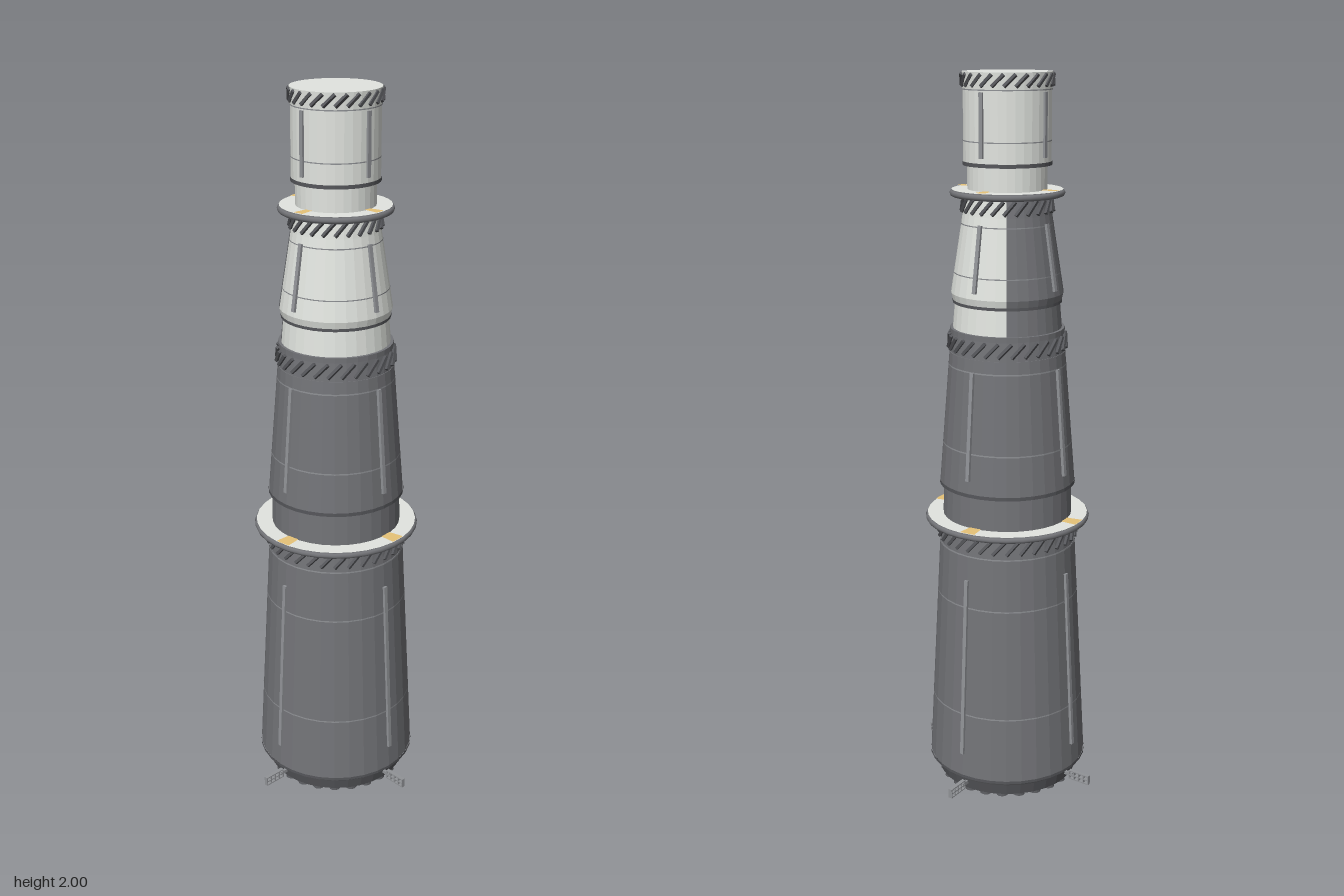
import * as THREE from 'three';
import { mergeGeometries } from 'three/addons/utils/BufferGeometryUtils.js';

const SIDES = 32;
const STEP = (Math.PI * 2) / SIDES;

const mat = (name, color) => {
  const m = new THREE.MeshStandardMaterial({ color });
  m.name = name;
  return m;
};

const flat = (geometry) => {
  const g = geometry.index ? geometry.toNonIndexed() : geometry;
  g.computeVertexNormals();
  return g;
};

// Faceted frustum between two heights, optionally only part of the way round
const frustum = (y0, r0, y1, r1, open = false, start = 0, sweep = Math.PI * 2) => {
  const sides = Math.round(sweep / STEP);
  const g = new THREE.CylinderGeometry(r1, r0, y1 - y0, sides, 1, open, start, sweep);
  return flat(g.translate(0, (y0 + y1) / 2, 0));
};

// Straight bar with a square section between two points
const bar = (a, b, width) => {
  const d = new THREE.Vector3().subVectors(b, a);
  const g = new THREE.BoxGeometry(width, d.length(), width);
  g.applyQuaternion(new THREE.Quaternion().setFromUnitVectors(new THREE.Vector3(0, 1, 0), d.clone().normalize()));
  return g.translate((a.x + b.x) / 2, (a.y + b.y) / 2, (a.z + b.z) / 2);
};

const polar = (r, angle, y) => new THREE.Vector3(r * Math.sin(angle), y, r * Math.cos(angle));

// Flat annulus facing up or down
const annulus = (inner, outer, y, up, start = 0, sweep = Math.PI * 2) => {
  const g = new THREE.RingGeometry(inner, outer, Math.round(sweep / STEP), 1, start, sweep);
  return g.rotateX(up ? -Math.PI / 2 : Math.PI / 2).translate(0, y, 0);
};

export function createModel() {
  const group = new THREE.Group();
  const darkGrey = mat('darkGrey', 0x737478);
  const lightGrey = mat('lightGrey', 0xe2e5e0);
  const trussGrey = mat('trussGrey', 0x56575b);
  const stripGrey = mat('stripGrey', 0x919397);
  const yellow = mat('yellow', 0xebc67a);

  const add = (name, geometry, material) => {
    const mesh = new THREE.Mesh(geometry, material);
    mesh.name = name;
    group.add(mesh);
  };

  // Slanted lattice bars running round the hull
  const truss = (name, y0, r0, y1, r1, count) => {
    const parts = [];
    const step = (Math.PI * 2) / count;
    for (let i = 0; i < count; i++) {
      parts.push(bar(polar(r0, i * step, y0), polar(r1, (i + 1) * step, y1), 0.008));
    }
    add(name, mergeGeometries(parts), trussGrey);
  };

  // Four raised cable strips following the slope of the hull
  const strips = (name, y0, r0, y1, r1) => {
    const parts = [];
    for (let i = 0; i < 4; i++) {
      const a = (i * Math.PI) / 2;
      parts.push(bar(polar(r0, a, y0), polar(r1, a, y1), 0.011));
    }
    add(name, mergeGeometries(parts), stripGrey);
  };

  // Thin seam band
  const seam = (name, y, r, material, height = 0.004) =>
    add(name, frustum(y - height / 2, r, y + height / 2, r, true), material);

  // Base skirt and lower stage
  add('baseSkirt', frustum(0.008, 0.2, 0.045, 0.208), trussGrey);
  add('lowerStageLip', frustum(0.045, 0.215, 0.062, 0.226), darkGrey);
  add('lowerStage', frustum(0.062, 0.226, 0.72, 0.191), darkGrey);
  add('lowerStageTop', frustum(0.72, 0.189, 0.785, 0.184), darkGrey);
  seam('lowerSeam', 0.25, 0.2172, stripGrey);
  seam('lowerSeam', 0.57, 0.2002, stripGrey);
  seam('lowerSeam', 0.72, 0.193, stripGrey);
  seam('lowerHoop', 0.06, 0.228, trussGrey, 0.008);
  strips('lowerStrips', 0.13, 0.224, 0.65, 0.196);
  truss('lowerTruss', 0.735, 0.194, 0.776, 0.19, 32);

  // Middle stage
  add('middleCollar', frustum(0.785, 0.181, 0.89, 0.178), darkGrey);
  add('middleStage', frustum(0.895, 0.188, 1.265, 0.158), darkGrey);
  add('middleStageTop', frustum(1.265, 0.156, 1.32, 0.152), darkGrey);
  seam('middleHoop', 0.895, 0.19, trussGrey, 0.01);
  seam('middleSeam', 1.01, 0.1802, stripGrey);
  seam('middleSeam', 1.23, 0.1622, stripGrey);
  strips('middleStrips', 0.935, 0.187, 1.23, 0.163);
  truss('middleTruss', 1.275, 0.161, 1.312, 0.158, 28);
  add('middleRim', frustum(1.316, 0.156, 1.33, 0.156), darkGrey);

  // Upper stage, light with a dark sector at the back
  const darkStart = Math.PI - 5 * STEP;
  const darkSweep = 10 * STEP;
  const twoTone = (name, y0, r0, y1, r1) => {
    add(name, frustum(y0, r0, y1, r1, true, darkStart + darkSweep, Math.PI * 2 - darkSweep), lightGrey);
    add(name + 'DarkBack', frustum(y0, r0, y1, r1, true, darkStart, darkSweep), darkGrey);
  };
  twoTone('upperCollar', 1.33, 0.148, 1.4, 0.142);
  twoTone('upperLip', 1.4, 0.146, 1.425, 0.152);
  twoTone('upperStage', 1.425, 0.152, 1.635, 0.119);
  twoTone('upperStageTop', 1.635, 0.119, 1.685, 0.113);
  seam('upperHoop', 1.403, 0.148, trussGrey, 0.008);
  seam('upperSeam', 1.48, 0.1442, stripGrey, 0.003);
  seam('upperSeam', 1.61, 0.1238, stripGrey, 0.003);
  strips('upperStrips', 1.44, 0.151, 1.615, 0.123);
  truss('upperTruss', 1.642, 0.122, 1.678, 0.118, 24);

  // Top stage with flat cap
  add('topCollar', frustum(1.685, 0.106, 1.765, 0.106), lightGrey);
  add('topStage', frustum(1.765, 0.116, 1.955, 0.116), lightGrey);
  add('topCap', frustum(1.955, 0.117, 1.999, 0.119), lightGrey);
  seam('topHoop', 1.767, 0.118, trussGrey, 0.01);
  seam('topSeam', 1.825, 0.1168, stripGrey, 0.003);
  seam('topSeam', 1.955, 0.118, stripGrey, 0.003);
  strips('topStrips', 1.785, 0.116, 1.95, 0.116);
  truss('topTruss', 1.964, 0.119, 1.994, 0.12, 24);

  // Walkway rings with rounded rims and four yellow marks each
  const walkway = (name, y, inner, outer) => {
    add(name + 'Body', frustum(y, outer - 0.006, y + 0.017, outer - 0.006), darkGrey);
    const rim = new THREE.TorusGeometry(outer - 0.007, 0.0085, 8, SIDES);
    add(name + 'Rim', rim.rotateX(Math.PI / 2).translate(0, y + 0.0085, 0), darkGrey);
    add(name + 'Deck', annulus(inner, outer - 0.004, y + 0.0185, true), lightGrey);
    for (let i = 0; i < 4; i++) {
      const a = (i * Math.PI) / 2;
      add(name + 'Mark', annulus(inner, outer - 0.004, y + 0.0205, true, a, STEP), yellow);
      add(name + 'UnderMark', annulus(inner + 0.01, outer - 0.004, y - 0.0015, false, -a - STEP, STEP), yellow);
    }
  };
  walkway('lowerWalkway', 0.781, 0.18, 0.229);
  walkway('upperWalkway', 1.681, 0.105, 0.152);

  // Grid fins: open frames standing out from the base
  const finParts = [];
  for (let i = 0; i < 4; i++) {
    const a = (i * Math.PI) / 2;
    const piece = (w, h, d, x, y, r) =>
      finParts.push(new THREE.BoxGeometry(w, h, d).translate(x, y, r).rotateY(a));
    piece(0.008, 0.01, 0.05, 0, 0.03, 0.205);
    for (const y of [0.018, 0.03, 0.042]) piece(0.011, 0.003, 0.065, 0, y, 0.2525);
    for (let k = 0; k < 5; k++) piece(0.011, 0.026, 0.003, 0, 0.03, 0.2215 + k * 0.0155);
  }
  add('gridFins', mergeGeometries(finParts), stripGrey);

  // Engine nozzles: outer circle and inner cluster
  const nozzles = [];
  const nozzleCircle = (count, radius) => {
    for (let i = 0; i < count; i++) {
      const p = polar(radius, (i / count) * Math.PI * 2, 0.01);
      nozzles.push(new THREE.CylinderGeometry(0.011, 0.017, 0.02, 12).translate(p.x, p.y, p.z));
    }
  };
  nozzleCircle(24, 0.183);
  nozzleCircle(6, 0.07);
  add('engineNozzles', flat(mergeGeometries(nozzles)), trussGrey);

  return group;
}
